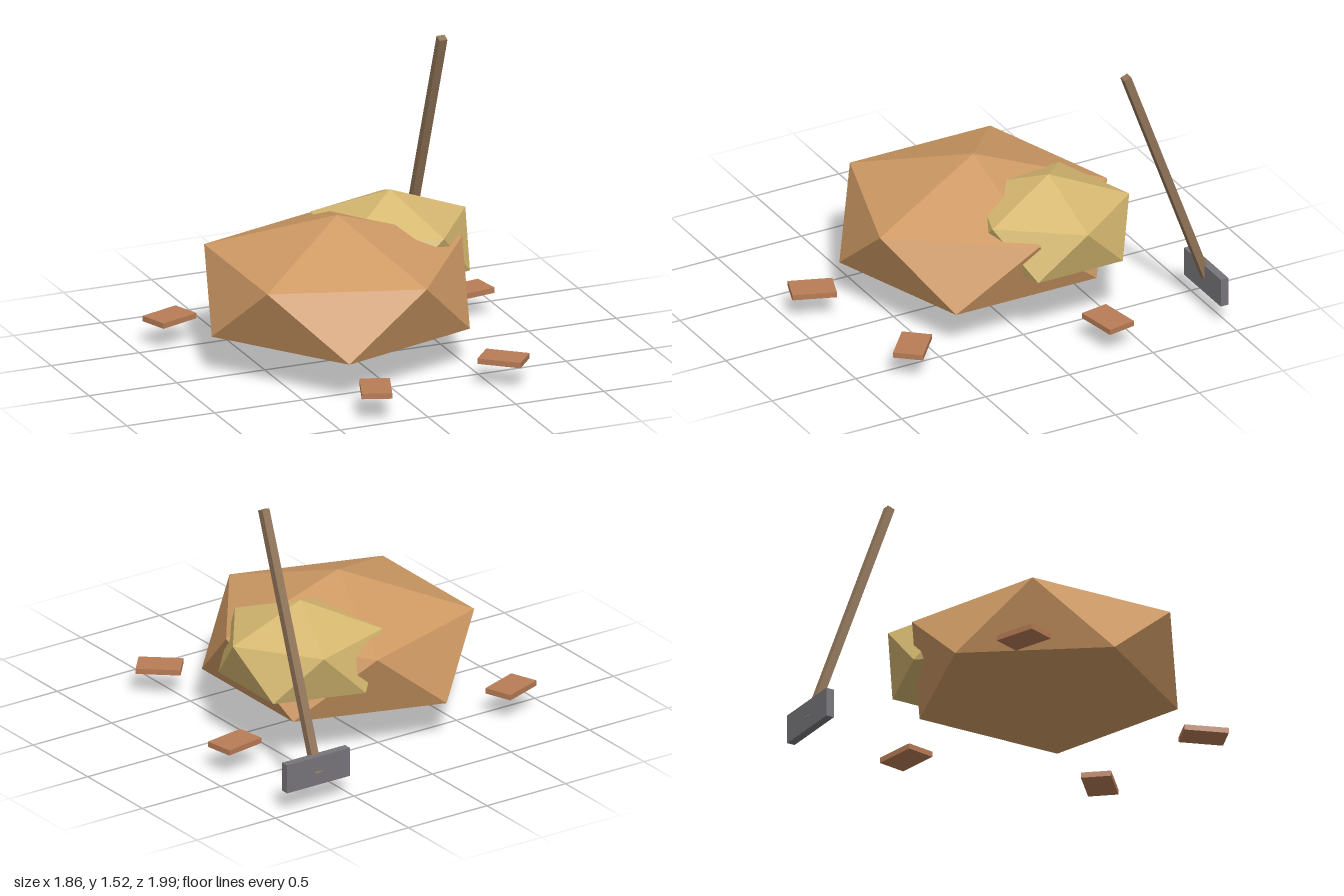
import * as THREE from 'three';

const paint = (color) => new THREE.MeshStandardMaterial({ color, flatShading: true });
const CLAY = paint(0xcf9a64), SAND = paint(0xd6b870), CHIP = paint(0xb87c56);
const WOOD = paint(0x917558), IRON = paint(0x77757a);

function addMesh(group, name, geometry, material, x, y, z) {
  const mesh = new THREE.Mesh(geometry, material);
  mesh.name = name;
  mesh.position.set(x, y, z);
  group.add(mesh);
  return mesh;
}

// Flattened icosahedron standing on one corner, with an upper ring corner toward +x
function boulder(radius, halfHeight) {
  const golden = (1 + Math.sqrt(5)) / 2;
  return new THREE.IcosahedronGeometry(1, 0)
    .rotateX(-Math.atan(golden))
    .rotateY(Math.PI / 2)
    .scale(radius, halfHeight, radius);
}

export function createModel() {
  const model = new THREE.Group();
  model.name = 'boulderPile';

  // Two overlapping boulders
  addMesh(model, 'largeBoulder', boulder(0.797, 0.398), CLAY, -0.08, 0.4, -0.02);
  addMesh(model, 'smallBoulder', boulder(0.48, 0.288), SAND, 0.32, 0.518, -0.25);

  // Flat fragments scattered around: x, z, turn
  const chips = new THREE.Group();
  chips.name = 'chips';
  const chipGeometry = new THREE.BoxGeometry(0.236, 0.03, 0.16);
  [
    [-0.795, -0.575, 0.35],
    [0.80, -0.34, 0.17],
    [0.56, 0.695, -0.70],
    [-0.235, 0.855, 1.22],
  ].forEach(([x, z, turn], i) => {
    addMesh(chips, `chip${i + 1}`, chipGeometry, CHIP, x, 0.146, z).rotation.y = turn;
  });
  model.add(chips);

  // Hammer leaning toward the boulders
  const hammer = new THREE.Group();
  hammer.name = 'hammer';
  addMesh(hammer, 'hammerHandle', new THREE.BoxGeometry(0.045, 1.415, 0.043), WOOD, 0.72, 0.846, -0.733)
    .rotation.x = 0.35;
  addMesh(hammer, 'hammerHead', new THREE.BoxGeometry(0.4, 0.16, 0.045), IRON, 0.72, 0.2, -0.97);
  model.add(hammer);

  return model;
}
